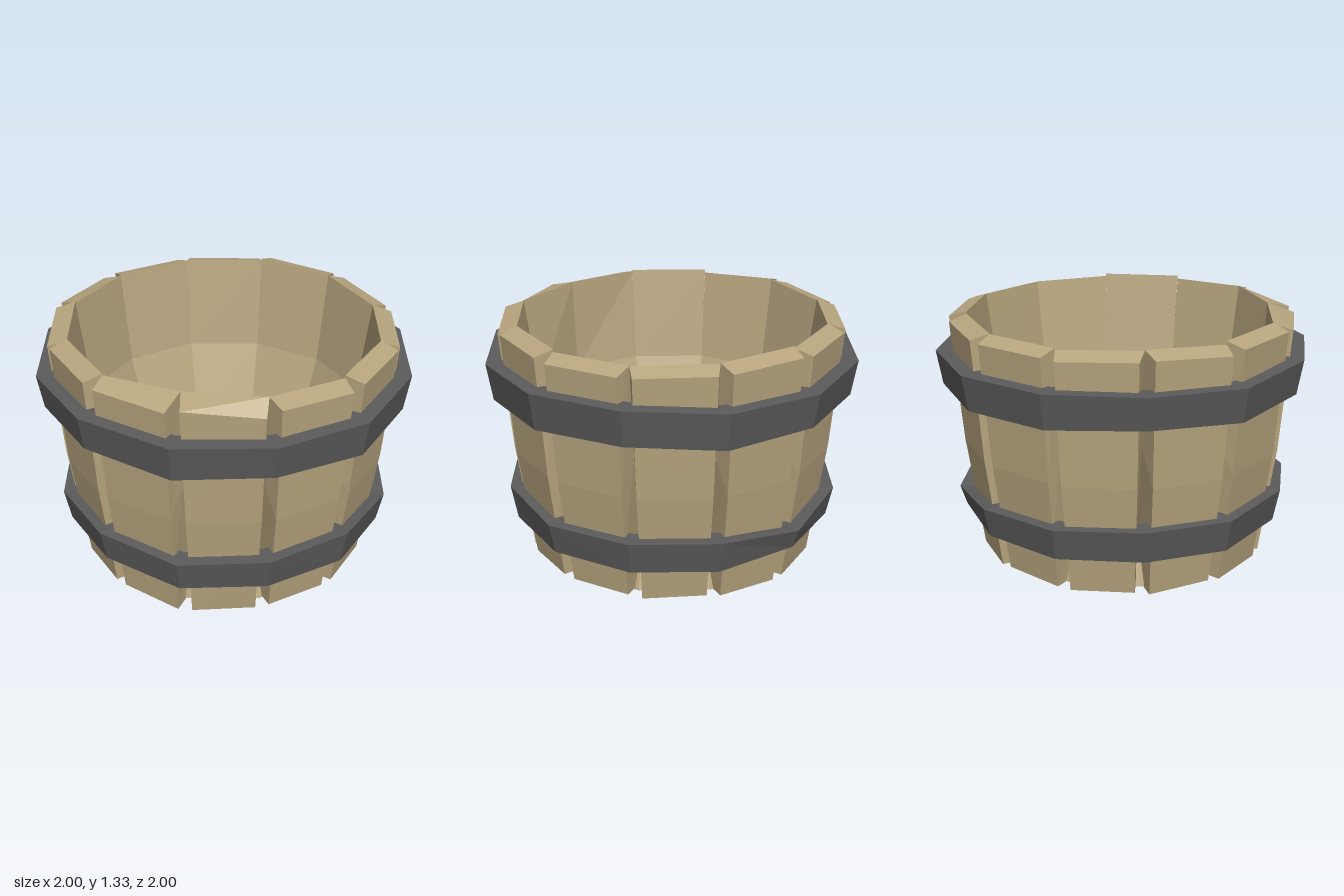
import * as THREE from 'three';

const wood = new THREE.MeshStandardMaterial({ color: 0xb9a67f, flatShading: true });
wood.name = 'wood';
const iron = new THREE.MeshStandardMaterial({ color: 0x5d5c5c, flatShading: true });
iron.name = 'iron';

const SIDES = 12;
const STEP = (Math.PI * 2) / SIDES;

// small seeded wobble in the range -1..1
let seed = 7;
function wobble() {
  seed = (seed * 16807) % 2147483647;
  return (seed / 2147483647) * 2 - 1;
}

// point at angle t (0 = front), distance r outward, s sideways, height y
function polar(t, r, y, s = 0) {
  return new THREE.Vector3(
    Math.sin(t) * r + Math.cos(t) * s, y, Math.cos(t) * r - Math.sin(t) * s);
}

// join four-cornered sections into a flat-shaded solid
function loft(sections, closed) {
  const pos = [];
  const quad = (a, b, c, d) =>
    [a, b, c, a, c, d].forEach((p) => pos.push(p.x, p.y, p.z));
  const n = sections.length;
  for (let i = 0; i < (closed ? n : n - 1); i++) {
    const a = sections[i], b = sections[(i + 1) % n];
    for (let j = 0; j < 4; j++) {
      const k = (j + 1) % 4;
      quad(a[j], a[k], b[k], b[j]);
    }
  }
  if (!closed) {
    const a = sections[0], b = sections[n - 1];
    quad(a[3], a[2], a[1], a[0]);
    quad(b[0], b[1], b[2], b[3]);
  }
  const g = new THREE.BufferGeometry();
  g.setAttribute('position', new THREE.Float32BufferAttribute(pos, 3));
  g.computeVertexNormals();
  return g;
}

function addMesh(parent, name, geometry, material) {
  const m = new THREE.Mesh(geometry, material);
  m.name = name;
  parent.add(m);
  return m;
}

// stave levels: height and distance of the outer face, height and radius of
// the inner corners, and unevenness of the height
const LEVELS = [
  { y: 0.025, outer: 0.76, innerY: 0.025, inner: 0.59, uneven: 0.012 },
  { y: 0.34, outer: 0.804, innerY: 0.33, inner: 0.6, uneven: 0 },
  { y: 0.63, outer: 0.845, innerY: 0.81, inner: 0.76, uneven: 0 },
  { y: 1.285, outer: 0.9, innerY: 1.315, inner: 0.83, uneven: 0.014 },
];
function stave(index) {
  const t = (index + 0.5) * STEP;
  const push = wobble() * 0.006;
  const sections = LEVELS.map((l) => {
    const half = l.outer * Math.tan(STEP / 2) - 0.038;
    const innerHalf = l.inner * Math.sin(STEP / 2);
    const inner = l.inner * Math.cos(STEP / 2);
    const left = wobble() * l.uneven, right = wobble() * l.uneven;
    return [
      polar(t, l.outer + push, l.y + left, -half),
      polar(t, l.outer + push, l.y + right, half),
      polar(t, inner, l.innerY + right, innerHalf),
      polar(t, inner, l.innerY + left, -innerHalf),
    ];
  });
  const bottom = sections[0], rim = sections[3];
  // the front pair reaches the ground at the middle and leans inward at the rim
  if (index === 0) {
    bottom[0].y = 0;
    rim[1].y = 1.255;
    rim[3].set(0, 1.325, 0.785);
  }
  if (index === SIDES - 1) {
    bottom[1].y = 0;
    rim[2].set(0, 1.325, 0.785);
  }
  return loft(sections, false);
}

// slanted iron band, slightly uneven: edge heights go round from the front
function hoop(lows, highs, r0, r1, depth) {
  return loft(lows.map((low, i) => {
    const t = i * STEP;
    return [
      polar(t, r0, low), polar(t, r0 - depth, low),
      polar(t, r1 - depth, highs[i]), polar(t, r1, highs[i]),
    ];
  }), true);
}

// floor plank clipped to the twelve-sided inside, with sloped back, front and ends
function plank({ back, front, backHalf, frontHalf, backBevel, frontBevel }) {
  const top = 0.37, endBevel = 0.03;
  const ring = (y, b, f, e) => [
    new THREE.Vector3(-frontHalf + e, y, front - f),
    new THREE.Vector3(frontHalf - e, y, front - f),
    new THREE.Vector3(backHalf - e, y, back + b),
    new THREE.Vector3(-backHalf + e, y, back + b),
  ];
  return loft([
    ring(0.25, 0, 0, 0),
    ring(top - 0.03, 0, 0, 0),
    ring(top, backBevel, frontBevel, endBevel),
  ], false);
}

const PLANKS = [
  { back: -0.52, front: -0.3, backHalf: 0.3, frontHalf: 0.53, backBevel: 0.07, frontBevel: 0.003 },
  { back: -0.297, front: -0.008, backHalf: 0.53, frontHalf: 0.61, backBevel: 0.003, frontBevel: 0.012 },
  { back: 0.005, front: 0.3, backHalf: 0.61, frontHalf: 0.53, backBevel: 0.01, frontBevel: 0.045 },
  { back: 0.3, front: 0.52, backHalf: 0.53, frontHalf: 0.3, backBevel: 0.003, frontBevel: 0.065 },
];

export function createModel() {
  const model = new THREE.Group();
  model.name = 'woodenBucket';

  const staves = new THREE.Group();
  staves.name = 'staves';
  for (let i = 0; i < SIDES; i++) addMesh(staves, 'stave', stave(i), wood);
  model.add(staves);

  addMesh(model, 'upperHoop', hoop(
    [0.94, 0.955, 0.925, 0.935, 0.95, 0.925, 0.935, 0.94, 0.95, 0.97, 0.945, 0.96],
    [1.135, 1.14, 1.125, 1.135, 1.145, 1.125, 1.12, 1.13, 1.14, 1.145, 1.13, 1.145],
    0.967, 1.0, 0.125), iron);
  addMesh(model, 'lowerHoop', hoop(
    [0.215, 0.23, 0.225, 0.22, 0.22, 0.22, 0.235, 0.23, 0.23, 0.24, 0.225, 0.24],
    [0.385, 0.405, 0.415, 0.385, 0.395, 0.395, 0.34, 0.39, 0.4, 0.415, 0.4, 0.415],
    0.87, 0.905, 0.12), iron);

  // floor: a thick base flush with the stave ends, and planks on top
  const base = new THREE.CylinderGeometry(0.61, 0.71, 0.28, SIDES);
  addMesh(model, 'floorBase', base, wood).position.y = 0.165;
  const floor = new THREE.Group();
  floor.name = 'floorPlanks';
  PLANKS.forEach((p) => addMesh(floor, 'floorPlank', plank(p), wood));
  model.add(floor);

  return model;
}
